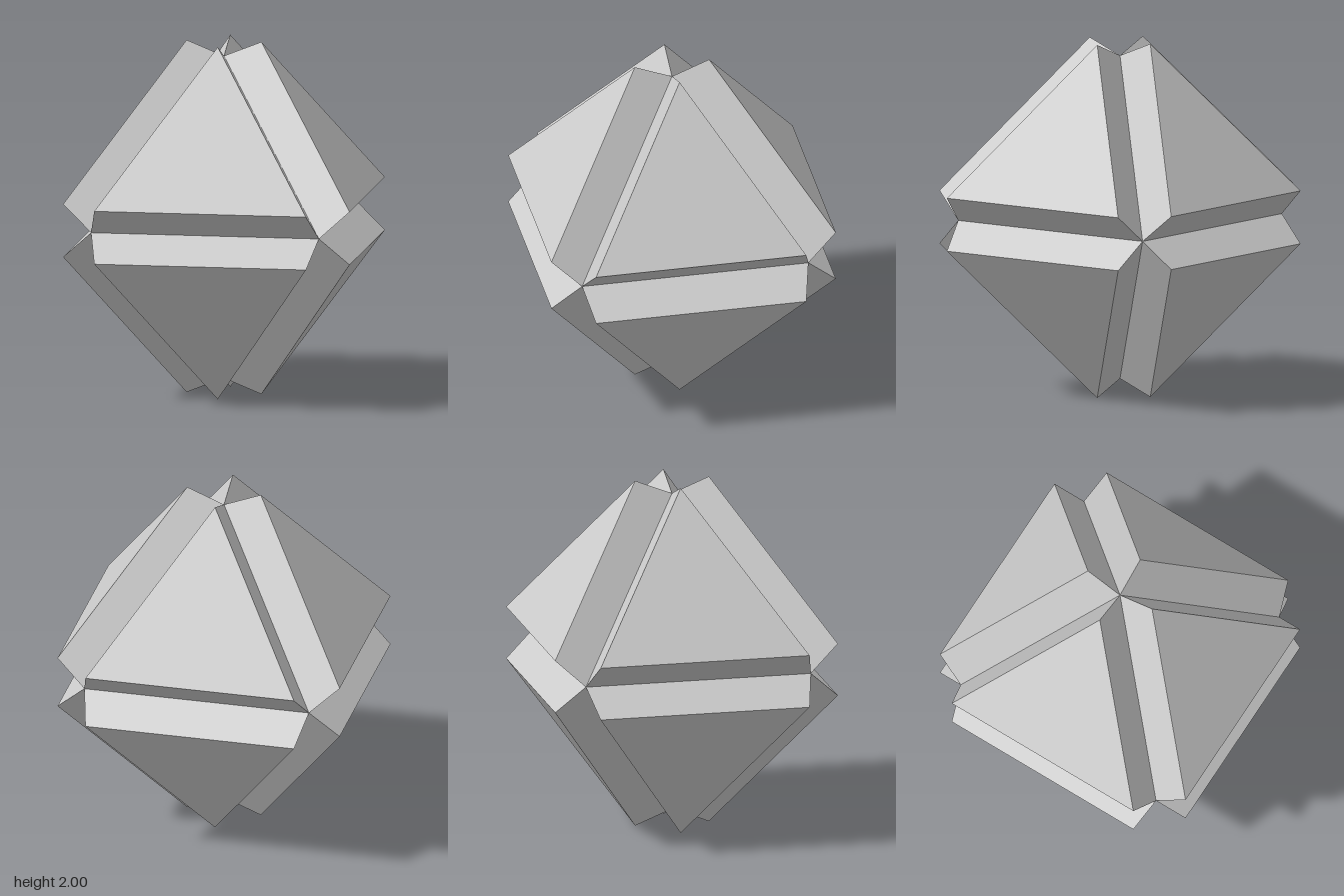
import * as THREE from 'three';

const INSET = 0.15;    // distance of each face plate from the centre planes
const GROOVE = 0.915;  // reach of the groove bottoms along each axis

const material = new THREE.MeshStandardMaterial({ color: 0xcccccc, flatShading: true });

// Flat polygons (convex corner loops) to a mesh; flip reverses the winding
function polygonMesh(name, polygons, flip) {
  const points = [];
  for (const polygon of polygons) {
    const p = flip ? [...polygon].reverse() : polygon;
    for (let i = 1; i < p.length - 1; i++) points.push(p[0], p[i], p[i + 1]);
  }
  const geometry = new THREE.BufferGeometry().setFromPoints(points);
  geometry.computeVertexNormals();
  const mesh = new THREE.Mesh(geometry, material);
  mesh.name = name;
  return mesh;
}

// One octant: a raised triangular plate and the three sloping walls down to the grooves
function createOctant(sx, sy, sz) {
  const corner = (x, y, z) => new THREE.Vector3(x * sx, y * sy, z * sz);
  const outer = [corner(1, INSET, INSET), corner(INSET, 1, INSET), corner(INSET, INSET, 1)];
  const inner = [corner(GROOVE, 0, 0), corner(0, GROOVE, 0), corner(0, 0, GROOVE)];
  const walls = outer.map((p, i) => {
    const j = (i + 1) % 3;
    return [p, inner[i], inner[j], outer[j]];
  });
  const flip = sx * sy * sz < 0;
  const octant = new THREE.Group();
  octant.name = 'octant';
  octant.add(polygonMesh('facePlate', [outer], flip), polygonMesh('grooveWalls', walls, flip));
  return octant;
}

export function createModel() {
  const model = new THREE.Group();
  model.name = 'groovedOctahedron';
  const body = new THREE.Group();
  body.name = 'body';
  body.position.y = 1;
  for (const sx of [1, -1])
    for (const sy of [1, -1])
      for (const sz of [1, -1]) body.add(createOctant(sx, sy, sz));
  model.add(body);
  return model;
}
